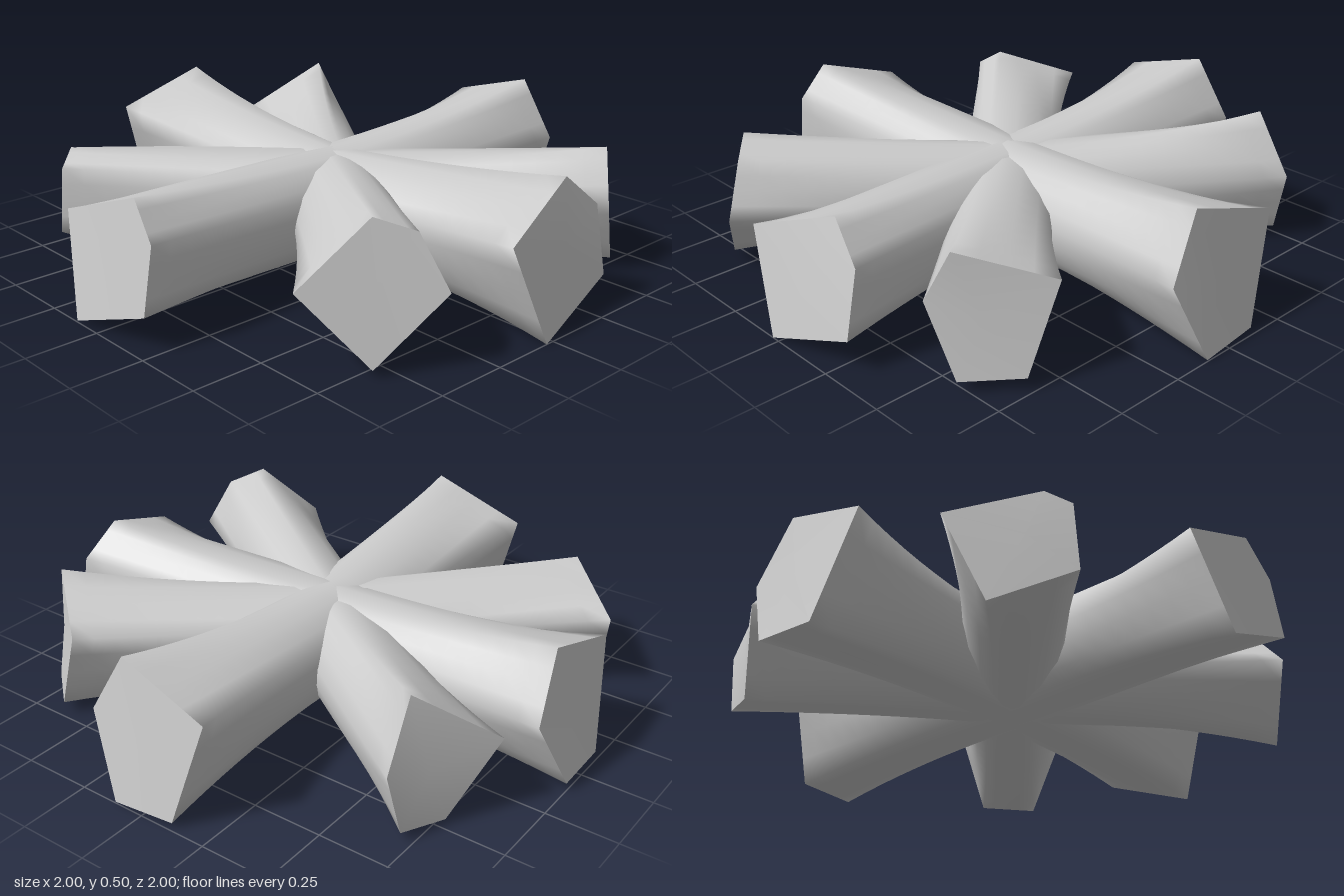
import * as THREE from 'three';

const HUB = new THREE.Vector3(0, 0.22, 0);
const PER_EDGE = 4;   // points along each edge of an end face
const STEPS = 12;     // sections along an arm

// Corners of each five-sided end face, clockwise as seen from outside
const ARMS = [
  { name: 'frontArm', radius: 0.182, cap: [[-0.22, 0.35, 0.94], [0.13, 0.475, 0.92], [0.23, 0.355, 0.935], [0.225, 0.13, 0.97], [-0.11, 0.015, 1]] },
  { name: 'backArm', radius: 0.182, cap: [[0.23, 0.29, -0.945], [0.11, 0.505, -0.92], [-0.23, 0.4, -0.945], [-0.12, 0.03, -0.99], [0.11, 0.015, -1]] },
  { name: 'leftArm', radius: 0.178, cap: [[0.955, 0.35, 0.16], [0.88, 0.475, -0.18], [0.91, 0.36, -0.31], [0.955, 0.13, -0.31], [1, 0.01, 0.03]] },
  { name: 'rightArm', radius: 0.178, cap: [[-0.945, 0.29, -0.23], [-0.92, 0.505, -0.1], [-0.93, 0.4, 0.24], [-0.99, 0.03, 0.12], [-1, 0.04, -0.11]] },
  { name: 'frontLeftArm', radius: 0.168, cap: [[0.625, 0.27, 0.73], [0.74, 0.485, 0.53], [0.83, 0.44, 0.43], [0.915, 0.26, 0.38], [0.795, 0.035, 0.575]] },
  { name: 'frontRightArm', radius: 0.168, cap: [[-0.835, 0.31, 0.495], [-0.6, 0.41, 0.69], [-0.55, 0.36, 0.76], [-0.55, 0.13, 0.78], [-0.76, 0.01, 0.61]] },
  { name: 'backLeftArm', radius: 0.168, cap: [[0.82, 0.3, -0.505], [0.76, 0.46, -0.56], [0.51, 0.355, -0.76], [0.62, 0.055, -0.735], [0.78, 0.05, -0.6]] },
  { name: 'backRightArm', radius: 0.168, cap: [[-0.7, 0.27, -0.69], [-0.69, 0.485, -0.56], [-0.885, 0.29, -0.335], [-0.78, 0.03, -0.48], [-0.72, 0.05, -0.64]] },
];

function makeGeometry(points, index) {
  const g = new THREE.BufferGeometry().setFromPoints(points);
  g.setIndex(index);
  g.computeVertexNormals();
  return g;
}

function makeArm({ name, radius, cap }, material) {
  const corners = cap.map((p) => new THREE.Vector3(...p)).reverse();
  const centre = corners.reduce((s, p) => s.add(p), new THREE.Vector3()).divideScalar(corners.length);
  const axis = centre.clone().sub(HUB).normalize();

  // Outline of the end face, with points along its edges
  const outline = [];
  corners.forEach((p, i) => {
    const next = corners[(i + 1) % corners.length];
    for (let k = 0; k < PER_EDGE; k++) outline.push(p.clone().lerp(next, k / PER_EDGE));
  });
  const n = outline.length;
  const square = outline.map((p) => p.clone().sub(centre));
  const round = square.map((o) => o.clone().addScaledVector(axis, -o.dot(axis)).setLength(radius));

  // Shaft: round at the hub, flaring into the five-sided end
  const points = [];
  const index = [];
  for (let i = 0; i <= STEPS; i++) {
    const t = i / STEPS;
    const middle = HUB.clone().lerp(centre, t);
    for (let j = 0; j < n; j++) {
      points.push(round[j].clone().lerp(square[j], t ** 2.1).add(middle));
      if (i === STEPS) continue;
      const a = i * n + j;
      const b = i * n + (j + 1) % n;
      index.push(a, b, b + n, a, b + n, a + n);
    }
  }
  const shaft = new THREE.Mesh(makeGeometry(points, index), material);
  shaft.name = 'shaft';

  // Flat end face
  const fan = corners.flatMap((_, j) => [0, j + 1, (j + 1) % corners.length + 1]);
  const end = new THREE.Mesh(makeGeometry([centre, ...corners], fan), material);
  end.name = 'endFace';

  const arm = new THREE.Group();
  arm.name = name;
  arm.add(shaft, end);
  return arm;
}

export function createModel() {
  const model = new THREE.Group();
  model.name = 'radialTubes';
  const material = new THREE.MeshStandardMaterial({ color: 0xcccccc });
  for (const arm of ARMS) model.add(makeArm(arm, material));
  return model;
}
